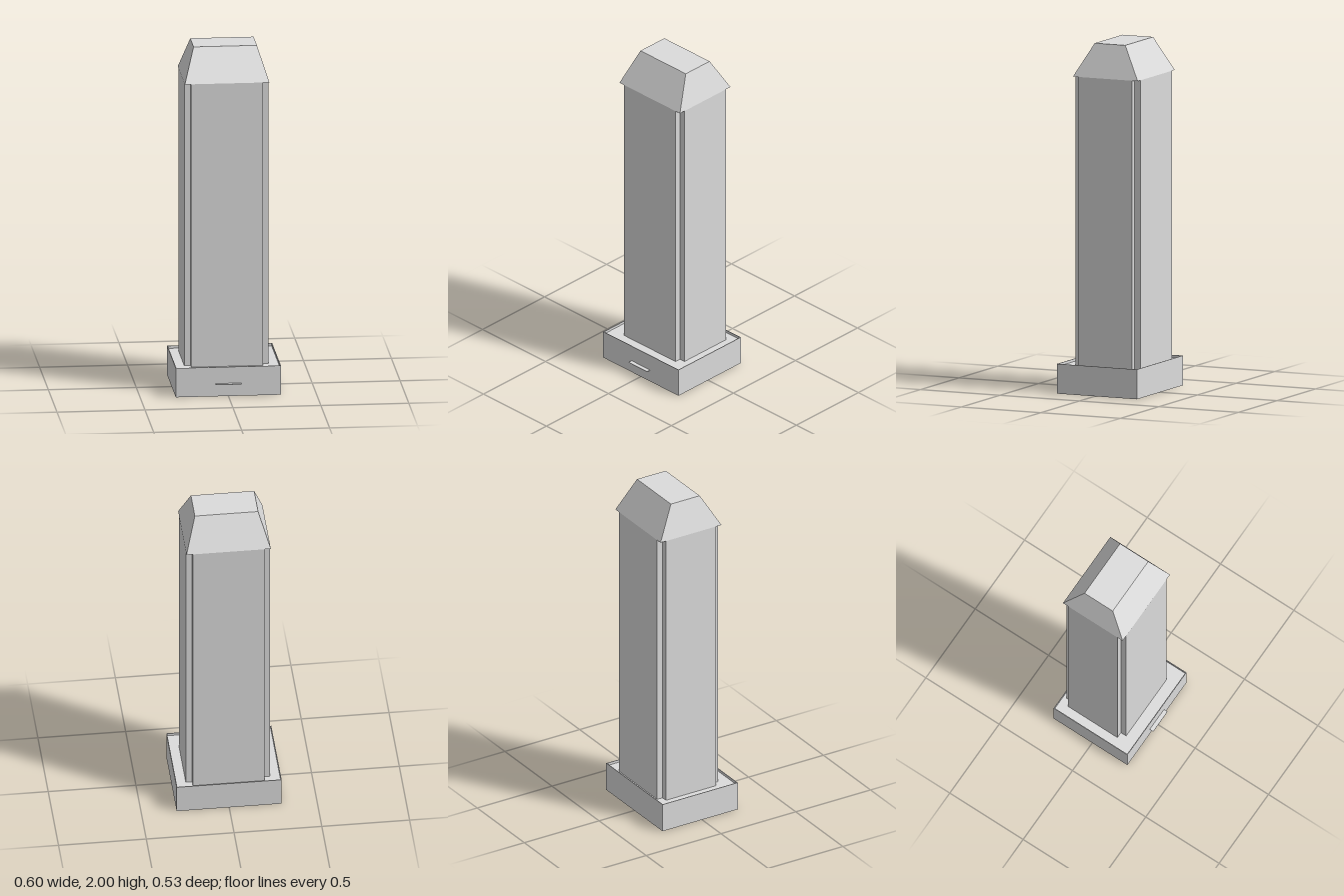
import * as THREE from 'three';

// Extrudes a plan outline given as [x, z] points upward from y0 to y1
function extrudePlan(points, y0, y1, hole) {
  const toVec = ([x, z]) => new THREE.Vector2(x, -z);
  const shape = new THREE.Shape(points.map(toVec));
  // The hole runs the opposite way round so its walls face inward
  if (hole) shape.holes.push(new THREE.Path(hole.map(toVec).reverse()));
  const geo = new THREE.ExtrudeGeometry(shape, { depth: y1 - y0, bevelEnabled: false });
  return geo.rotateX(-Math.PI / 2).translate(0, y0, 0);
}

const rect = (x, z0, z1) => [[-x, z0], [x, z0], [x, z1], [-x, z1]];

export function createModel() {
  const model = new THREE.Group();
  const stone = new THREE.MeshStandardMaterial({ color: 0xdbdbdb });
  stone.name = 'light grey stone';

  const add = (name, geo) => {
    const mesh = new THREE.Mesh(geo, stone);
    mesh.name = name;
    model.add(mesh);
    return mesh;
  };

  const HX = 0.24, ZB = -0.24, ZF = 0.167; // shaft and roof footprint
  const N = 0.036;                         // corner notch
  const roofY = 1.81;

  // Hollow base: thin walls with a recessed deck, open below
  const BX = 0.299, BB = -0.264, BF = 0.239, T = 0.004;
  const inner = rect(BX - T, BB + T, BF - T);
  add('baseWalls', extrudePlan(rect(BX, BB, BF), 0, 0.17, inner));
  add('baseDeck', extrudePlan(inner, 0.15, 0.155));

  // Small ledge on the front of the base
  const ledge = add('frontLedge', new THREE.BoxGeometry(0.145, 0.003, 0.024));
  ledge.position.set(0, 0.073, 0.251);

  // Shaft with a square notch down each corner
  add('shaft', extrudePlan([
    [-HX + N, ZB], [HX - N, ZB], [HX - N, ZB + N], [HX, ZB + N],
    [HX, ZF - N], [HX - N, ZF - N], [HX - N, ZF], [-HX + N, ZF],
    [-HX + N, ZF - N], [-HX, ZF - N], [-HX, ZB + N], [-HX + N, ZB + N],
  ], 0.155, roofY));

  // Roof: a box whose top face is drawn in
  const roof = new THREE.BoxGeometry(1, 1, 1);
  const p = roof.attributes.position;
  for (let i = 0; i < p.count; i++) {
    const top = p.getY(i) > 0;
    const x = Math.sign(p.getX(i)) * (top ? 0.18 : HX);
    const z = p.getZ(i) > 0 ? (top ? 0.059 : ZF) : (top ? -0.133 : ZB);
    p.setXYZ(i, x, top ? 2 : roofY, z);
  }
  roof.computeVertexNormals();
  add('roof', roof);

  return model;
}
